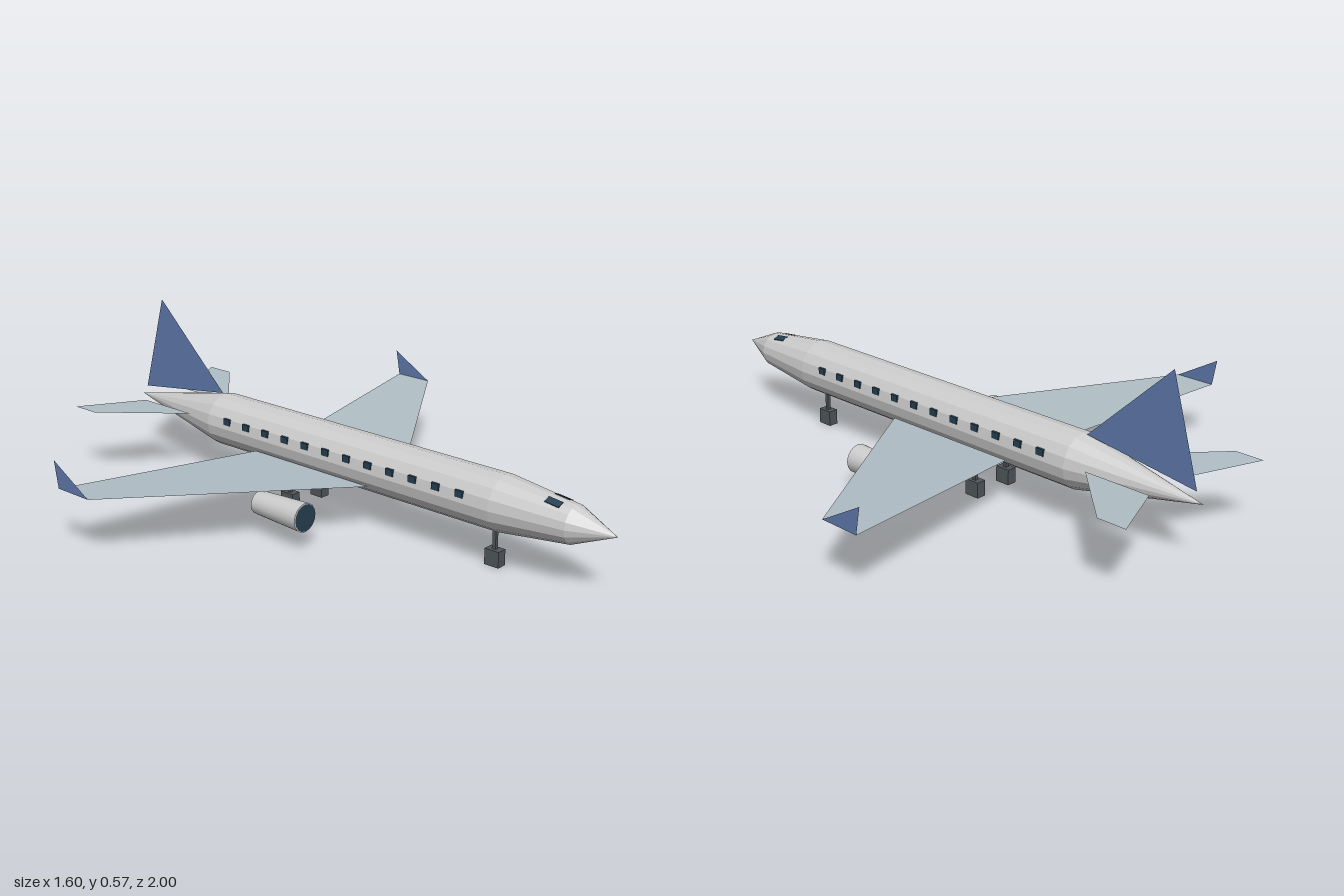
import * as THREE from 'three';

const mat = (color, opts = {}) => new THREE.MeshStandardMaterial({ color, ...opts });

// Thin flat panel from a convex loop of corners
function panel(name, corners, material) {
  const geo = new THREE.BufferGeometry();
  geo.setAttribute('position', new THREE.Float32BufferAttribute(corners.flat(), 3));
  const index = [];
  for (let i = 1; i < corners.length - 1; i++) index.push(0, i, i + 1);
  geo.setIndex(index);
  geo.computeVertexNormals();
  const mesh = new THREE.Mesh(geo, material);
  mesh.name = name;
  return mesh;
}

function box(name, size, pos, material) {
  const mesh = new THREE.Mesh(new THREE.BoxGeometry(...size), material);
  mesh.position.set(...pos);
  mesh.name = name;
  return mesh;
}

export function createModel() {
  const model = new THREE.Group();
  model.name = 'airliner';

  const grey = mat(0xcccccc);
  const hull = mat(0xcccccc, { flatShading: true });
  const wingMat = mat(0xb0bec5, { side: THREE.DoubleSide });
  const blue = mat(0x5f78ac, { side: THREE.DoubleSide });
  const glass = mat(0x263f50);
  const dark = mat(0x50565a);

  const midY = 0.208;

  // Fuselage: pointed nose, straight barrel, long tail cone
  const profile = [[0, -1], [0.089, -0.565], [0.089, 0.613], [0.06, 0.86], [0, 1]]
    .map(([r, z]) => new THREE.Vector2(r, z));
  const fuselage = new THREE.Mesh(new THREE.LatheGeometry(profile, 16), hull);
  fuselage.rotation.x = Math.PI / 2;
  fuselage.position.y = midY;
  fuselage.name = 'fuselage';
  model.add(fuselage);

  // Tail fin
  model.add(panel('tailFin', [[0, 0.295, -0.58], [0, 0.24, -0.975], [0, 0.575, -0.877]], blue));

  for (const [side, s] of [['left', 1], ['right', -1]]) {
    // Swept wing with slight dihedral and an upright winglet
    model.add(panel(side + 'Wing', [
      [s * 0.085, 0.165, 0.153], [s * 0.8, 0.207, -0.322],
      [s * 0.8, 0.207, -0.46], [s * 0.085, 0.165, -0.338],
    ], wingMat));
    model.add(panel(side + 'Winglet', [
      [s * 0.8, 0.207, -0.322], [s * 0.8, 0.207, -0.46], [s * 0.8, 0.295, -0.475],
    ], blue));

    // Tailplane
    model.add(panel(side + 'Tailplane', [
      [s * 0.09, 0.227, -0.65], [s * 0.32, 0.237, -0.882],
      [s * 0.32, 0.237, -0.98], [s * 0.09, 0.227, -0.88],
    ], wingMat));

    // Engine nacelle with dark intake disc
    const engine = new THREE.Group();
    engine.name = side + 'Engine';
    engine.position.set(s * 0.302, 0.109, 0);
    const nacelle = new THREE.Mesh(new THREE.CylinderGeometry(0.047, 0.038, 0.195, 16), grey);
    nacelle.rotation.x = Math.PI / 2;
    nacelle.position.z = -0.009;
    nacelle.name = 'nacelle';
    const intake = new THREE.Mesh(new THREE.CircleGeometry(0.044, 16), glass);
    intake.position.z = 0.0905;
    intake.name = 'intake';
    engine.add(nacelle, intake);
    model.add(engine);

    // Cabin windows
    for (let i = 0; i < 12; i++) {
      model.add(box(side + 'Window', [0.008, 0.022, 0.028],
        [s * 0.085, 0.234, 0.508 - i * 0.0892], glass));
    }

    // Cockpit pane, nearly flush with the hull
    const pane = box(side + 'CockpitPane', [0.024, 0.004, 0.05],
      [s * 0.026, midY + 0.06, 0.8], glass);
    pane.rotation.set(0.117, 0, -s * 0.393);
    model.add(pane);
  }

  // Landing gear: one under the nose, two under the wings
  for (const [name, x, z] of [['noseGear', 0, 0.583], ['leftGear', 0.07, -0.197], ['rightGear', -0.07, -0.197]]) {
    const gear = new THREE.Group();
    gear.name = name;
    gear.position.set(x, 0, z);
    gear.add(box('strut', [0.012, 0.08, 0.012], [0, 0.085, 0], dark));
    gear.add(box('wheel', [0.034, 0.052, 0.052], [0, 0.027, 0], dark));
    model.add(gear);
  }

  return model;
}
